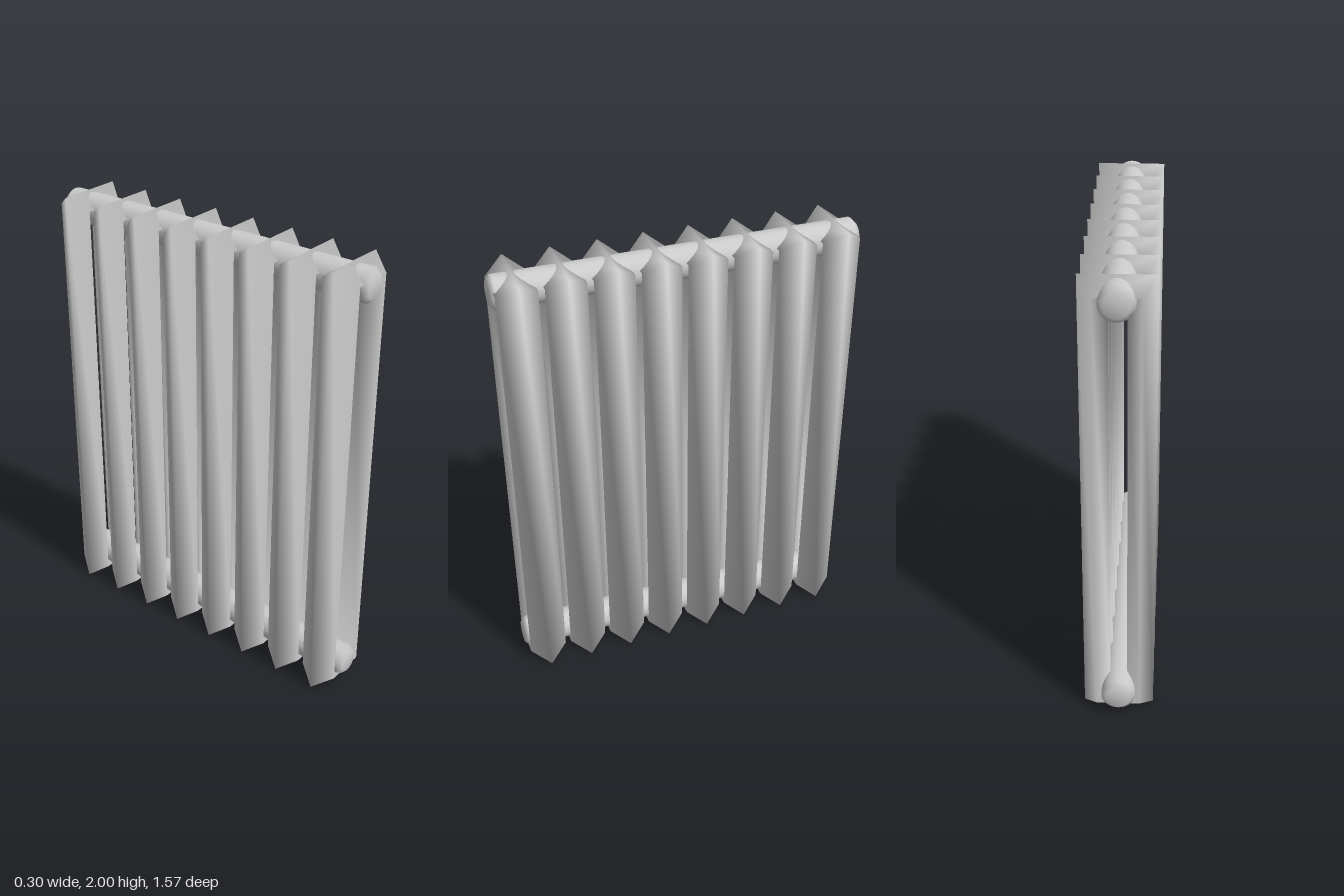
import * as THREE from 'three';

const SECTIONS = 8, PITCH = 0.196;
const material = new THREE.MeshStandardMaterial({ color: 0xcccccc });

// Four-cornered ring with a diamond section, stretched into a tall frame
function sectionGeometry() {
  const mid = 0.093, half = 0.057, height = 2, depth = 0.085;
  const tube = half * Math.SQRT2;
  const geo = new THREE.TorusGeometry(mid * Math.SQRT2, tube, 4, 4);
  geo.rotateZ(Math.PI / 4);
  geo.scale(1, 1, depth / tube);
  const p = geo.attributes.position;
  const stretch = height / 2 - (mid + half);
  for (let i = 0; i < p.count; i++) {
    p.setY(i, p.getY(i) + Math.sign(p.getY(i)) * stretch + height / 2);
  }
  return geo;
}

// Round pipe along z with chamfered, softly shaded ends
function pipeGeometry() {
  const profile = [[0, -0.787], [0.05, -0.787], [0.072, -0.765], [0.072, 0.765], [0.05, 0.787], [0, 0.787]]
    .map(([r, y]) => new THREE.Vector2(r, y));
  return new THREE.LatheGeometry(profile, 32).rotateX(Math.PI / 2);
}

export function createModel() {
  const group = new THREE.Group();
  group.name = 'radiator';

  // Row of upright sections
  const sectionGeo = sectionGeometry();
  for (let i = 0; i < SECTIONS; i++) {
    const section = new THREE.Mesh(sectionGeo, material);
    section.name = `section${i + 1}`;
    section.position.z = (i - (SECTIONS - 1) / 2) * PITCH + 0.004;
    group.add(section);
  }

  // Pipes joining the sections
  const pipeGeo = pipeGeometry();
  for (const [name, y] of [['upperPipe', 1.919], ['lowerPipe', 0.102]]) {
    const pipe = new THREE.Mesh(pipeGeo, material);
    pipe.name = name;
    pipe.position.y = y;
    group.add(pipe);
  }
  return group;
}
